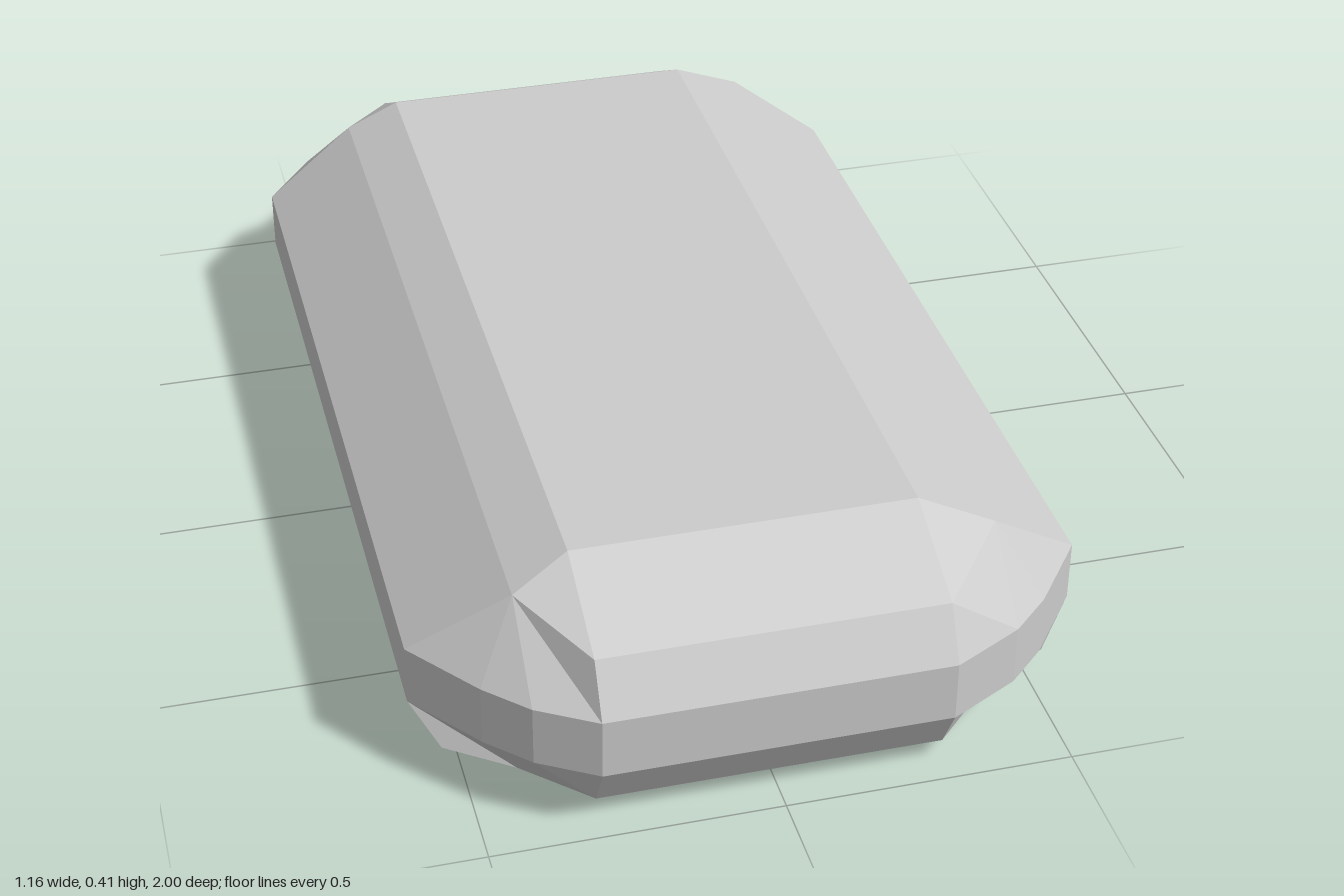
import * as THREE from 'three';

// Measurements that differ a little from corner to corner
// [x sign, z sign, inner x, end of side wall, outer bend, inner bend, end of flat top]
const CORNERS = [
  [1, 1, 0.285, 0.74, [0.48, 0.87], [0.41, 0.935], 0.765],
  [-1, 1, 0.31, 0.74, [0.48, 0.87], [0.41, 0.94], 0.765],
  [-1, -1, 0.31, 0.775, [0.49, 0.90], [0.41, 0.94], 0.80],
  [1, -1, 0.285, 0.775, [0.48, 0.915], [0.41, 0.935], 0.80],
];

// Four points per corner for each horizontal loop, listed from side wall to end wall
function cornerLoops([, , inner, side, outerBend, innerBend, topEnd]) {
  const wall = (y) => [
    [0.58, y, side],
    [outerBend[0], y, outerBend[1]],
    [innerBend[0], y, innerBend[1]],
    [inner, y, 1],
  ];
  const foot = [0.41, 0, 0.8];
  const shoulder = [0.41, 0.365, 0.8];
  const top = [inner, 0.41, topEnd];
  return [
    [foot, foot, foot, foot],
    [[0.53, 0.04, 0.765], foot, foot, [inner, 0.04, 0.95]],
    wall(0.13),
    wall(0.24),
    [shoulder, shoulder, shoulder, [inner, 0.33, 0.95]],
    [top, top, top, top],
  ];
}

function buildSlab() {
  // Join the corners into closed loops from bottom to top
  const loops = [[], [], [], [], [], []];
  CORNERS.forEach((corner, c) => {
    const [sx, sz] = corner;
    cornerLoops(corner).forEach((points, i) => {
      const placed = points.map(([x, y, z]) => new THREE.Vector3(x * sx, y, z * sz));
      if (c % 2) placed.reverse();
      loops[i].push(...placed);
    });
  });

  const positions = [];
  const triangle = (a, b, c) => {
    if (a.equals(b) || b.equals(c) || a.equals(c)) return;
    for (const p of [a, b, c]) positions.push(p.x, p.y, p.z);
  };

  // Bevelled walls
  for (let i = 0; i < loops.length - 1; i++) {
    const low = loops[i];
    const high = loops[i + 1];
    for (let j = 0; j < low.length; j++) {
      const k = (j + 1) % low.length;
      triangle(low[j], high[j], high[k]);
      triangle(low[j], high[k], low[k]);
    }
  }

  // Flat bottom and top
  const bottom = [0, 4, 8, 12].map((j) => loops[0][j]);
  const top = [0, 4, 8, 12].map((j) => loops[5][j]);
  triangle(bottom[0], bottom[1], bottom[2]);
  triangle(bottom[0], bottom[2], bottom[3]);
  triangle(top[0], top[2], top[1]);
  triangle(top[0], top[3], top[2]);

  const geometry = new THREE.BufferGeometry();
  geometry.setAttribute('position', new THREE.Float32BufferAttribute(positions, 3));
  geometry.computeVertexNormals();
  return geometry;
}

export function createModel() {
  const group = new THREE.Group();
  group.name = 'bevelledSlab';
  const material = new THREE.MeshStandardMaterial({ color: 0xcccccc, flatShading: true });
  const slab = new THREE.Mesh(buildSlab(), material);
  slab.name = 'slab';
  group.add(slab);
  return group;
}
